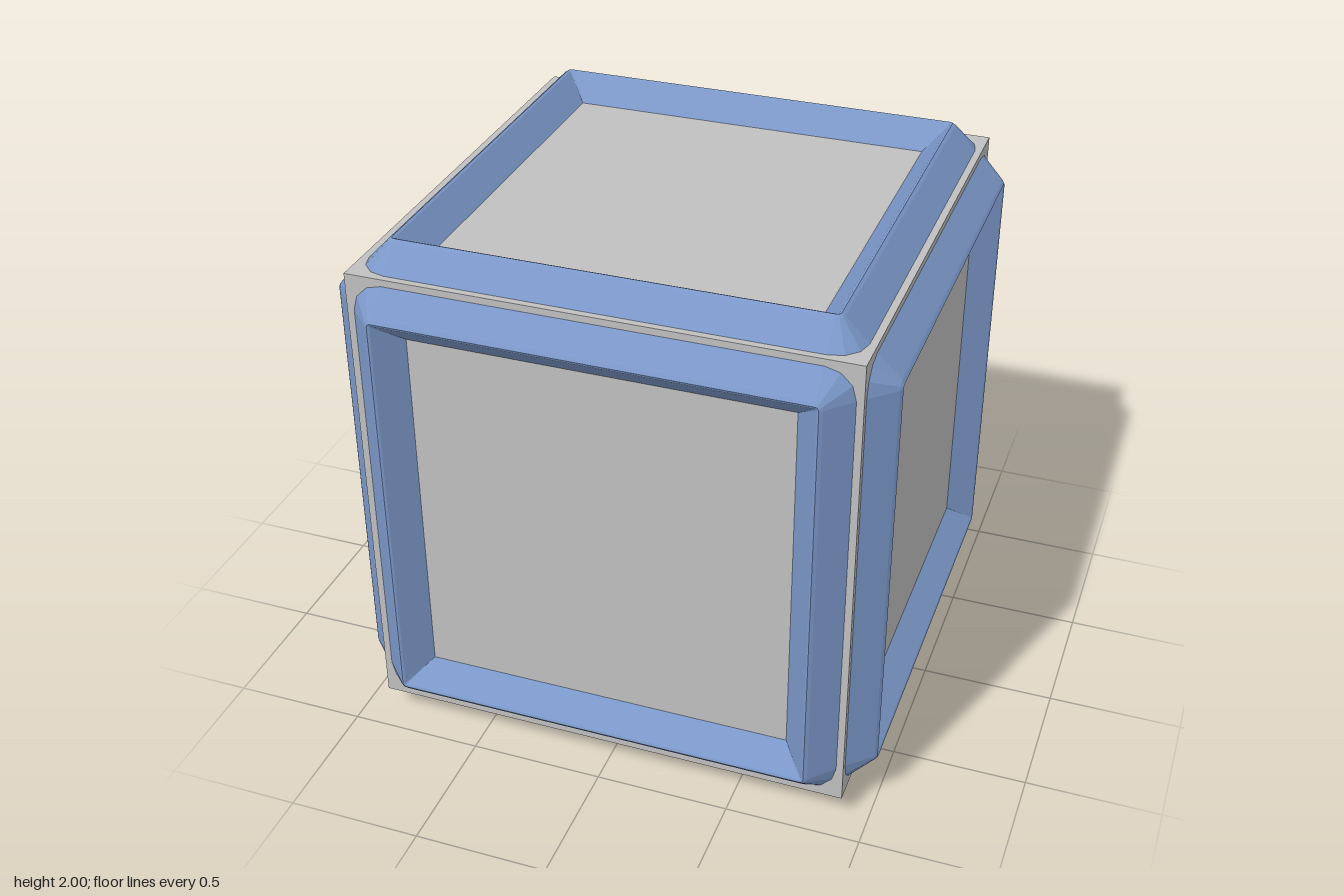
import * as THREE from 'three';

const HALF = 0.905;   // half size of the cube
const RIDGE = 0.77;   // half size of the frame's ridge square

// Frame cross-section: [offset from ridge square, height from cube centre]
const PROFILE = [[-0.08, 0.904], [0.005, 0.996], [0.014, 1.0], [0.026, 0.992], [0.11, 0.904]];
const CORNER_STEPS = 3;

// Closed loop around the face: sharp corners inside, rounded corners outside
function frameLoop([offset, height]) {
  const loop = [];
  for (let c = 0; c < 4; c++) {
    for (let s = 0; s <= CORNER_STEPS; s++) {
      const a = (s / CORNER_STEPS) * Math.PI / 2;
      const x = RIDGE + offset * (offset > 0 ? Math.cos(a) : 1);
      const y = RIDGE + offset * (offset > 0 ? Math.sin(a) : 1);
      loop.push(new THREE.Vector3(x, y, height).applyAxisAngle(new THREE.Vector3(0, 0, 1), c * Math.PI / 2));
    }
  }
  return loop;
}

// Faceted raised frame on the +z face
function frameGeometry() {
  const loops = PROFILE.map(frameLoop);
  const pos = [];
  const tri = (a, b, c) => {
    const area = b.clone().sub(a).cross(c.clone().sub(a)).length();
    if (area > 1e-7) for (const p of [a, b, c]) pos.push(p.x, p.y, p.z);
  };
  for (let i = 0; i < loops.length - 1; i++) {
    const inner = loops[i], outer = loops[i + 1], n = inner.length;
    for (let j = 0; j < n; j++) {
      const k = (j + 1) % n;
      tri(inner[j], outer[j], outer[k]);
      tri(inner[j], outer[k], inner[k]);
    }
  }
  const geo = new THREE.BufferGeometry();
  geo.setAttribute('position', new THREE.Float32BufferAttribute(pos, 3));
  geo.computeVertexNormals();
  return geo;
}

export function createModel() {
  const grey = new THREE.MeshStandardMaterial({ color: 0xc0c0c0 });
  grey.name = 'light grey';
  const blue = new THREE.MeshStandardMaterial({ color: 0x7b97c8 });
  blue.name = 'steel blue';

  const model = new THREE.Group();
  model.name = 'framedCube';

  // Cube body
  const body = new THREE.Mesh(new THREE.BoxGeometry(HALF * 2, HALF * 2, HALF * 2), grey);
  body.name = 'cubeBody';
  body.position.y = 1;
  model.add(body);

  // One raised frame on each of the six faces
  const q = Math.PI / 2;
  const faces = { front: [0, 0], left: [0, q], back: [0, 2 * q], right: [0, -q], top: [-q, 0], bottom: [q, 0] };
  const geo = frameGeometry();
  for (const [name, [rx, ry]] of Object.entries(faces)) {
    const frame = new THREE.Mesh(geo, blue);
    frame.name = name + 'Frame';
    frame.rotation.set(rx, ry, 0);
    frame.position.y = 1;
    model.add(frame);
  }
  return model;
}
